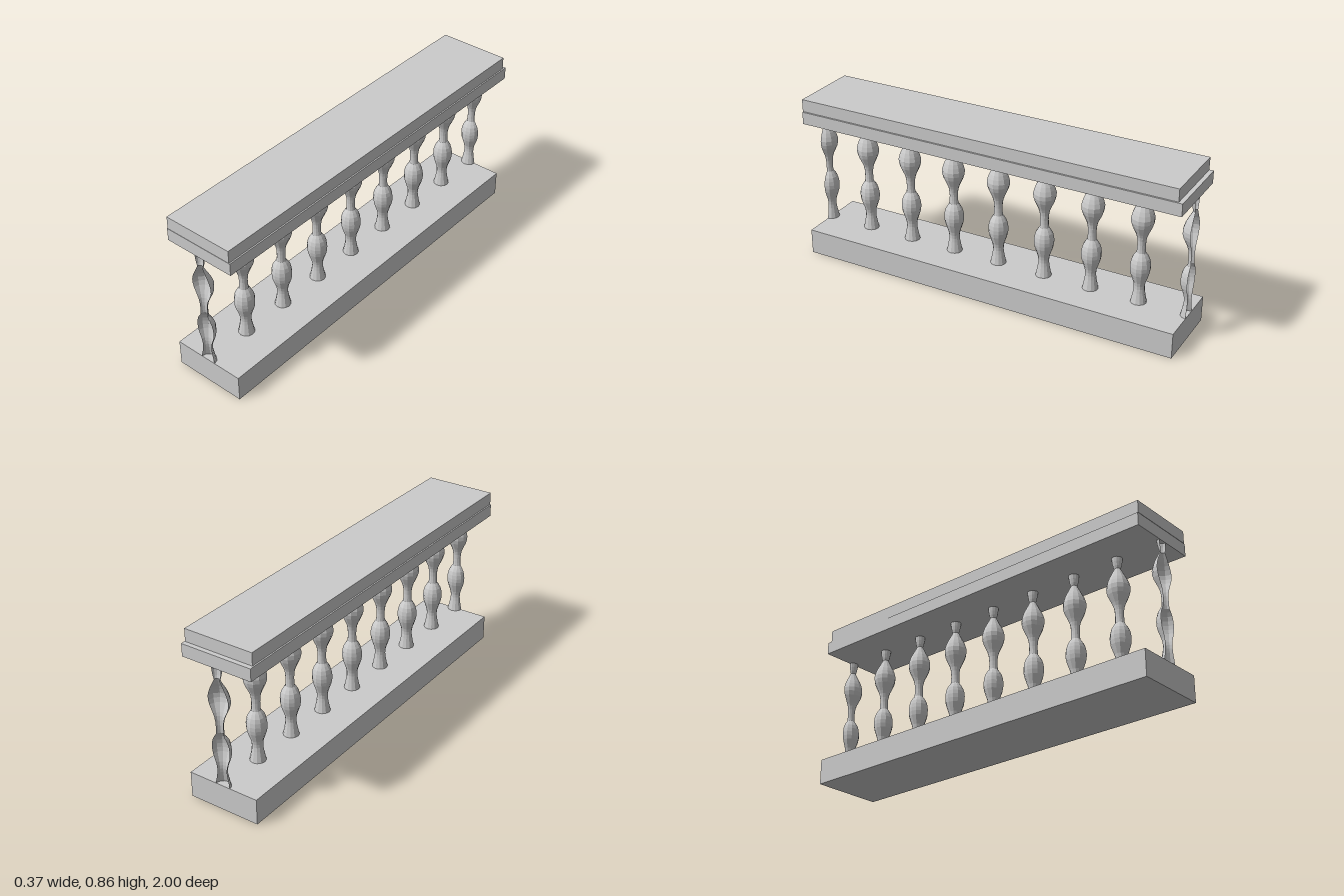
import * as THREE from 'three';

const material = new THREE.MeshStandardMaterial({ color: 0xcccccc, flatShading: true });
const openMaterial = new THREE.MeshStandardMaterial({ color: 0xcccccc, flatShading: true, side: THREE.DoubleSide });

// Baluster outline in three smooth runs with sharp rings between them: [radius, height]
const runs = [
  [[0.039, 0.13], [0.032, 0.165], [0.026, 0.205], [0.03, 0.24], [0.045, 0.285], [0.049, 0.325], [0.041, 0.365], [0.022, 0.395]],
  [[0.022, 0.395], [0.02, 0.43], [0.023, 0.47], [0.033, 0.5], [0.049, 0.535], [0.056, 0.572], [0.046, 0.61], [0.031, 0.64], [0.015, 0.672]],
  [[0.015, 0.672], [0.022, 0.695], [0.026, 0.727]],
];

function balusterProfile() {
  const points = [];
  runs.forEach((run, i) => {
    const curve = new THREE.SplineCurve(run.map(([r, y]) => new THREE.Vector2(r, y)));
    const samples = curve.getPoints(i < 2 ? 14 : 3);
    points.push(...(i ? samples.slice(1) : samples));
  });
  return points;
}

function addSlab(group, name, width, y0, y1, z0, z1) {
  const slab = new THREE.Mesh(new THREE.BoxGeometry(width, y1 - y0, z1 - z0), material);
  slab.position.set(0, (y0 + y1) / 2, (z0 + z1) / 2);
  slab.name = name;
  group.add(slab);
}

export function createModel() {
  const group = new THREE.Group();
  group.name = 'balustrade';

  // Plinth and two-layer handrail; the top layer stops short at the back
  addSlab(group, 'base', 0.37, 0, 0.13, -1, 1);
  addSlab(group, 'railLower', 0.37, 0.727, 0.79, -1, 1);
  addSlab(group, 'railUpper', 0.36, 0.792, 0.855, -0.98, 1);

  // Whole balusters between the ends
  const profile = balusterProfile();
  const full = new THREE.LatheGeometry(profile, 12);
  for (let i = -3; i <= 3; i++) {
    const baluster = new THREE.Mesh(full, material);
    baluster.position.z = i * 0.25;
    baluster.name = 'baluster';
    group.add(baluster);
  }

  // Hollow half balusters cut flush with each end
  for (const end of [1, -1]) {
    const start = end > 0 ? Math.PI / 2 : -Math.PI / 2;
    const half = new THREE.Mesh(new THREE.LatheGeometry(profile, 6, start, Math.PI), openMaterial);
    half.position.z = end;
    half.name = end > 0 ? 'frontHalfBaluster' : 'backHalfBaluster';
    group.add(half);
  }
  return group;
}
